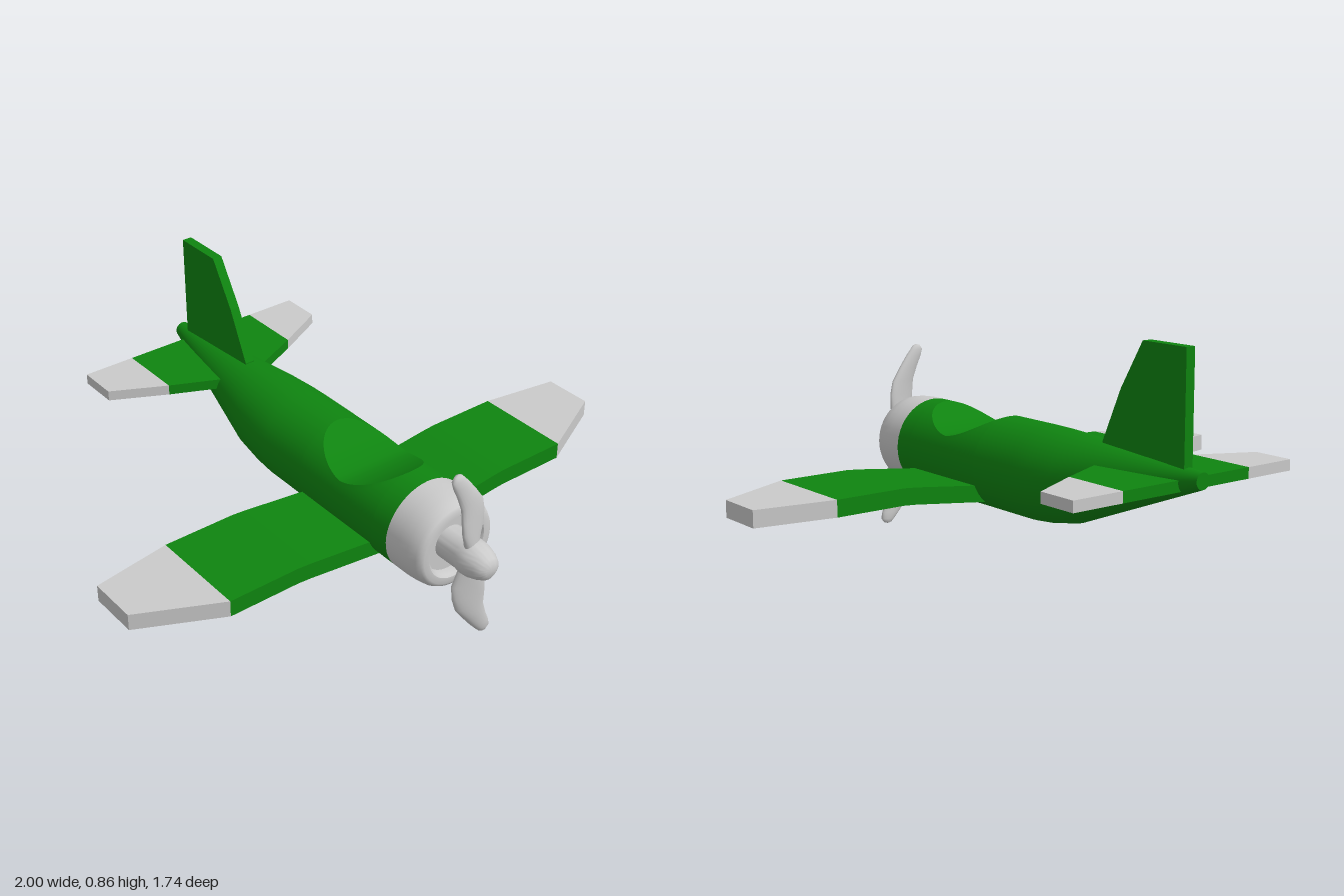
import * as THREE from 'three';
import { mergeVertices, toCreasedNormals } from 'three/addons/utils/BufferGeometryUtils.js';

const green = new THREE.MeshStandardMaterial({ color: 0x0f8410 });
green.name = 'green paint';
const grey = new THREE.MeshStandardMaterial({ color: 0xcacaca });
grey.name = 'light grey paint';

const AXIS_Y = 0.345; // height of the engine axis
const R = 0.168;      // main body radius

// Skins a list of cross-sections, each a list of [x, y, z] with equal length
function loft(rows, flat = false) {
  const n = rows[0].length;
  const index = [];
  for (let i = 0; i < rows.length - 1; i++) {
    for (let j = 0; j < n - 1; j++) {
      const a = i * n + j, b = a + n;
      index.push(a, a + 1, b, a + 1, b + 1, b);
    }
  }
  let geo = new THREE.BufferGeometry();
  geo.setAttribute('position', new THREE.Float32BufferAttribute(rows.flat(2), 3));
  geo.setIndex(index);
  geo = flat ? geo.toNonIndexed() : mergeVertices(geo, 1e-5);
  geo.computeVertexNormals();
  return geo;
}

// Row shrunk to its first-to-third corner midpoint, used to close an end
const collapse = (row, c) => row.map(() => c);

function add(group, name, geo, mat) {
  const mesh = new THREE.Mesh(geo, mat);
  mesh.name = name;
  group.add(mesh);
  return mesh;
}

// Turned part about the engine axis; profile is [radius, z]
function turned(profile) {
  const geo = new THREE.LatheGeometry(profile.map(p => new THREE.Vector2(...p)), 48);
  geo.rotateX(Math.PI / 2);
  geo.translate(0, AXIS_Y, 0);
  return toCreasedNormals(geo, 0.7);
}

// Slab running along +x; stations are [x, zFront, zBack, yBottom, yTop]
function slab(stations) {
  const rows = stations.map(([x, zf, zb, yb, yt]) =>
    [[x, yt, zb], [x, yt, zf], [x, yb, zf], [x, yb, zb], [x, yt, zb]]);
  const centre = ([x, zf, zb, yb, yt]) => [x, (yb + yt) / 2, (zf + zb) / 2];
  rows.unshift(collapse(rows[0], centre(stations[0])));
  rows.push(collapse(rows[0], centre(stations[stations.length - 1])));
  return loft(rows, true);
}

const mirror = stations => stations.map(([x, ...rest]) => [-x, ...rest]).reverse();

// Green middle and two grey tips
function liftingSurface(name, inner, tip) {
  const group = new THREE.Group();
  group.name = name;
  add(group, name + 'Centre', slab([...mirror(inner).slice(0, -1), ...inner]), green);
  add(group, name + 'LeftTip', slab(tip), grey);
  add(group, name + 'RightTip', slab(mirror(tip)), grey);
  return group;
}

// Round body with a scooped cockpit opening
function fuselage() {
  const group = new THREE.Group();
  group.name = 'fuselage';
  const sections = [[0.55, R, AXIS_Y, 0]]; // z, radius, centre y, half opening angle
  const floor = [];
  const steps = 32;
  for (let i = 0; i <= steps; i++) {
    const c = Math.cos(Math.PI * i / steps);
    const z = 0.28 + 0.195 * c;
    const y = 0.43 + (AXIS_Y + R - 0.43) * Math.abs(c) ** 1.6;
    const phi = Math.acos(Math.min(1, (y - AXIS_Y) / R));
    sections.push([z, R, AXIS_Y, phi]);
    const row = [];
    for (let j = 0; j <= 8; j++) row.push([R * Math.sin(phi) * (j / 4 - 1), y, z]);
    floor.push(row);
  }
  sections.push([-0.12, R, AXIS_Y, 0], [-0.2, 0.164, 0.348, 0],
    [-0.31, 0.152, 0.356, 0], [-0.5, 0.110, 0.387, 0], [-0.87, 0.028, 0.447, 0]);

  const skin = sections.map(([z, r, cy, phi]) => {
    const row = [];
    for (let j = 0; j <= 48; j++) {
      const a = phi + (2 * Math.PI - 2 * phi) * j / 48;
      row.push([r * Math.sin(a), cy + r * Math.cos(a), z]);
    }
    return row;
  });
  add(group, 'bodySkin', loft(skin), green);
  add(group, 'cockpitScoop', loft(floor), green);

  const end = new THREE.CircleGeometry(0.028, 32);
  end.rotateY(Math.PI);
  end.translate(0, 0.447, -0.87);
  add(group, 'tailEnd', end, green);
  return group;
}

// Upright fin, extruded from its side outline of [z, y]
function fin() {
  const outline = [[-0.425, 0.44], [-0.425, 0.505], [-0.51, 0.69], [-0.61, 0.855], [-0.805, 0.855], [-0.805, 0.44]];
  const shape = new THREE.Shape(outline.map(([z, y]) => new THREE.Vector2(-z, y)));
  const geo = new THREE.ExtrudeGeometry(shape, { depth: 0.036, bevelEnabled: false });
  geo.translate(0, 0, -0.018);
  geo.rotateY(Math.PI / 2);
  return geo;
}

// Swept, slightly pitched blade growing up from the axis
function blade() {
  // height, centre x, half width, half thickness, pitch
  const stations = [
    [0.02, 0, 0.028, 0.02, 0.4], [0.06, 0.002, 0.042, 0.02, 0.35], [0.11, 0.003, 0.06, 0.018, 0.3],
    [0.16, 0.0, 0.06, 0.018, 0.25], [0.21, -0.008, 0.053, 0.018, 0.2], [0.26, -0.034, 0.043, 0.017, 0.16],
    [0.30, -0.058, 0.036, 0.016, 0.12], [0.325, -0.072, 0.028, 0.014, 0.1], [0.34, -0.073, 0.015, 0.01, 0.1],
  ];
  const rows = stations.map(([h, cx, w, t, pitch]) => {
    const row = [];
    for (let j = 0; j <= 20; j++) {
      const a = 2 * Math.PI * j / 20;
      const u = w * Math.sin(a), v = t * Math.cos(a);
      row.push([cx + u * Math.cos(pitch) + v * Math.sin(pitch), h, v * Math.cos(pitch) - u * Math.sin(pitch)]);
    }
    return row;
  });
  rows.push(collapse(rows[0], [-0.073, 0.345, 0]));
  return loft(rows);
}

export function createModel() {
  const plane = new THREE.Group();
  plane.name = 'airplane';
  plane.add(fuselage());

  // Engine cowl with a recessed front
  add(plane, 'engineCowl', turned([[R, 0.55], [0.168, 0.61], [0.165, 0.65], [0.159, 0.685],
    [0.151, 0.7], [0.14, 0.706], [0.118, 0.706], [0.11, 0.698], [0.107, 0.67], [0, 0.67]]), grey);

  // Main wing, dropping towards the body
  plane.add(liftingSurface('wing',
    [[0, 0.455, 0.09, 0.205, 0.265], [0.40, 0.455, 0.09, 0.252, 0.312],
      [0.45, 0.455, 0.09, 0.256, 0.316], [0.715, 0.455, 0.09, 0.256, 0.316]],
    [[0.715, 0.455, 0.09, 0.256, 0.316], [1, 0.315, 0.135, 0.256, 0.316]]));

  // Tailplane and fin
  plane.add(liftingSurface('tailplane',
    [[0, -0.43, -0.805, 0.406, 0.444], [0.27, -0.555, -0.805, 0.406, 0.444]],
    [[0.27, -0.555, -0.805, 0.406, 0.444], [0.465, -0.655, -0.805, 0.406, 0.444]]));
  add(plane, 'fin', fin(), green);

  // Propeller: shaft, spinner and two opposite blades
  const propeller = new THREE.Group();
  propeller.name = 'propeller';
  add(propeller, 'shaftAndSpinner', turned([[0.06, 0.66], [0.06, 0.75], [0.064, 0.77], [0.062, 0.8],
    [0.052, 0.835], [0.04, 0.858], [0.024, 0.868], [0, 0.87]]), grey);
  for (const side of [0, 1]) {
    const mesh = add(propeller, side ? 'lowerBlade' : 'upperBlade', blade(), grey);
    mesh.position.set(0, AXIS_Y, 0.77);
    mesh.rotation.z = side * Math.PI;
  }
  plane.add(propeller);
  return plane;
}
